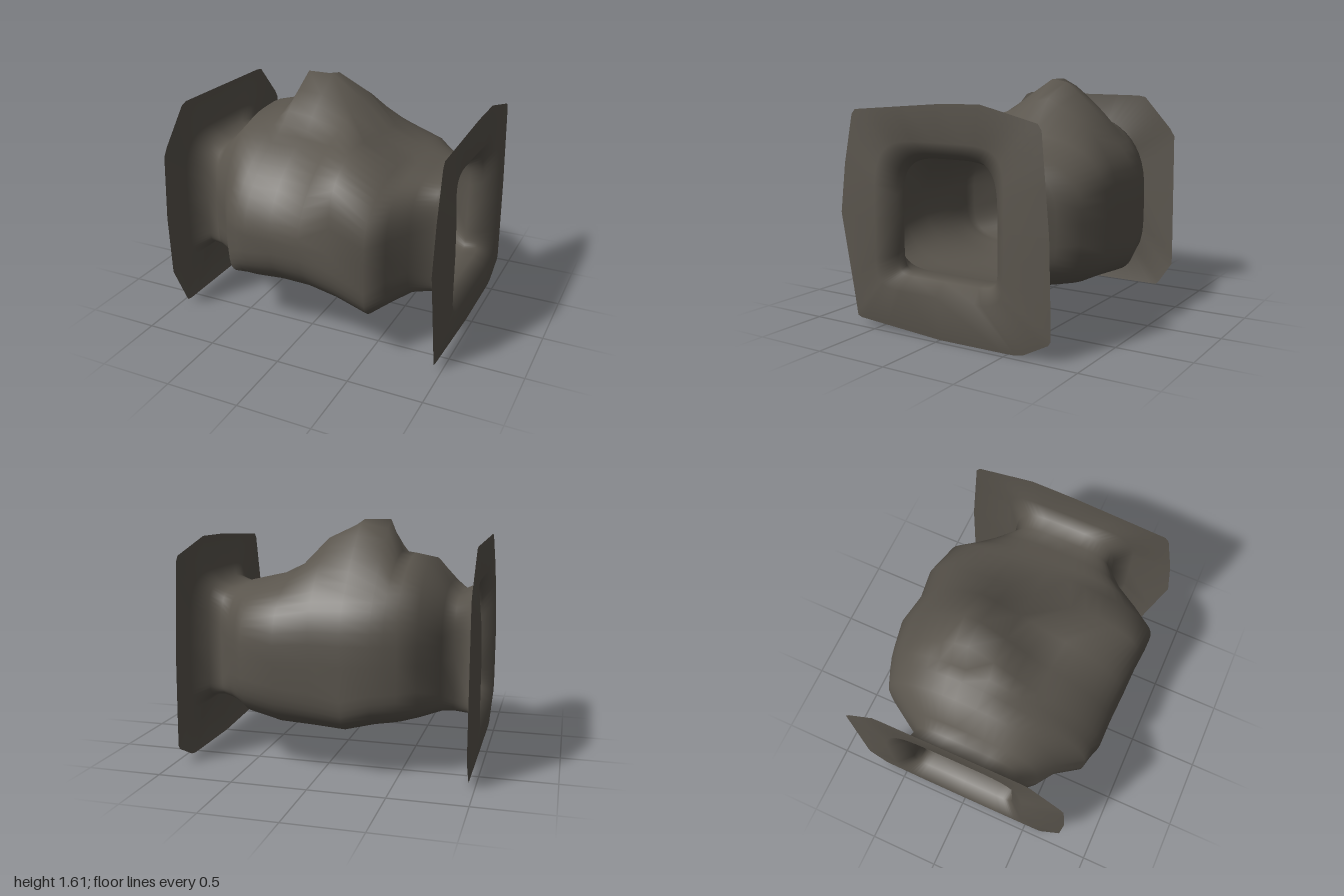
import * as THREE from 'three';

const SIDES = 56;
const MID_Y = 0.75; // height where each section is widest

// Chamber sections: x, floor y, roof y, back z, front z, knob height, knob z,
// then squareness of the front roof, front floor and back floor corners
const CHAMBER = [
  [-0.74, 0.38, 1.20, -0.50, 0.49, 0, 0, 2.8, 5, 6],
  [-0.62, 0.36, 1.34, -0.69, 0.58, 0.03, -0.2, 2.2, 4, 5],
  [-0.50, 0.33, 1.36, -0.74, 0.74, 0.04, -0.2, 1.9, 5, 5],
  [-0.42, 0.32, 1.36, -0.77, 0.76, 0.06, -0.2, 1.8, 4, 5],
  [-0.34, 0.31, 1.36, -0.79, 0.79, 0.27, -0.18, 1.8, 3.4, 5],
  [-0.16, 0.28, 1.36, -0.825, 0.79, 0.29, -0.22, 1.8, 2.7, 6],
  [0.06, 0.27, 1.34, -0.79, 0.80, 0.17, -0.26, 1.9, 2.6, 5],
  [0.28, 0.27, 1.28, -0.825, 0.805, 0.07, 0.45, 4, 3.2, 4],
  [0.52, 0.30, 1.20, -0.77, 0.82, 0, 0, 2.8, 6, 3.5],
  [0.61, 0.33, 1.18, -0.64, 0.68, 0, 0, 3, 5, 4],
  [0.70, 0.36, 1.16, -0.53, 0.52, 0, 0, 3.2, 5, 5],
].map(([x, floor, roof, back, front, knob, knobZ, roofFront, floorFront, floorBack]) =>
  ({ x, floor, roof, back, front, knob, knobZ, roofFront, roofBack: 2.8, floorFront, floorBack, lean: 0 }));

// Flange outlines as z, y corners, running from the front up and over
const LEFT_FLANGE = [[0.815, 0.82], [0.68, 1.435], [-0.26, 1.505], [-0.73, 1.39], [-0.79, 0.7],
  [-0.80, 0.12], [-0.59, 0.01], [-0.08, 0], [0.68, 0.05], [0.71, 0.23]];
const RIGHT_FLANGE = [[0.75, 1.2], [0.5, 1.49], [-0.53, 1.48], [-0.78, 1.2],
  [-0.79, 0.2], [-0.67, 0.02], [0.62, 0.02], [0.80, 0.4]];

// Point on a rounded-box section, plus the rocky knob on the roof
function sectionPoint(s, angle) {
  const cos = Math.cos(angle), sin = Math.sin(angle);
  const squareness = sin > 0 ? (cos > 0 ? s.roofFront : s.roofBack) : (cos > 0 ? s.floorFront : s.floorBack);
  const z = (cos > 0 ? s.front : s.back) * Math.pow(Math.abs(cos), 2 / squareness);
  let y = MID_Y + ((sin > 0 ? s.roof : s.floor) - MID_Y) * Math.pow(Math.abs(sin), 2 / squareness);
  if (sin > 0) y += s.knob * Math.max(0, 1 - Math.abs(z - s.knobZ) / 0.45) * Math.min(1, sin * 2);
  return [s.x - s.lean * Math.max(0, sin), y, z];
}

function sectionRow(section) {
  return Array.from({ length: SIDES }, (_, j) => sectionPoint(section, (j / SIDES) * Math.PI * 2));
}

// Push each lip point straight out from the centre to the flange outline
function flangeRow(lipRow, outline, x) {
  return lipRow.map(([, y, z]) => {
    const dy = y - MID_Y;
    let reach = Infinity;
    outline.forEach(([z0, y0], i) => {
      const [z1, y1] = outline[(i + 1) % outline.length];
      const ez = z1 - z0, ey = y1 - y0;
      const cross = z * ey - dy * ez;
      const t = (z0 * ey - (y0 - MID_Y) * ez) / cross;
      const u = (z0 * dy - (y0 - MID_Y) * z) / cross;
      if (t > 0 && u >= -1e-6 && u <= 1 + 1e-6) reach = Math.min(reach, t);
    });
    return [x, MID_Y + dy * reach, z * reach];
  });
}

// Neck, flared lip and flat flange at one end, from the chamber outward
function endRows(side, outline) {
  const row = (x, floor, roof, back, front, top, low, lean) => sectionRow({
    x: side * x, floor, roof, back, front, knob: 0, knobZ: 0, lean: side * lean,
    roofFront: top, roofBack: top, floorFront: low, floorBack: low,
  });
  const lip = row(0.995, 0.29, 1.25, -0.50, 0.48, 5, 8, 0.045);
  return [
    row(0.81, 0.375, 1.135, -0.385, 0.39, 3.8, 10, 0),
    row(0.90, 0.37, 1.175, -0.40, 0.37, 4, 10, 0),
    lip,
    flangeRow(lip, outline, side * 0.955),
  ];
}

// Skin the rows into one open sheet
function skin(rows) {
  const indices = [];
  for (let i = 0; i < rows.length - 1; i++) {
    for (let j = 0; j < SIDES; j++) {
      const a = i * SIDES + j, b = i * SIDES + (j + 1) % SIDES;
      indices.push(a, a + SIDES, b, b, a + SIDES, b + SIDES);
    }
  }
  const geometry = new THREE.BufferGeometry();
  geometry.setAttribute('position', new THREE.Float32BufferAttribute(rows.flat(2), 3));
  geometry.setIndex(indices);
  geometry.computeVertexNormals();
  return geometry;
}

export function createModel() {
  const rock = new THREE.MeshStandardMaterial({ color: 0x5a554d, side: THREE.DoubleSide });
  rock.name = 'dark rock';

  // Bulging chamber with a square neck and a flange at each end
  const rows = [
    ...endRows(-1, RIGHT_FLANGE).reverse(),
    ...CHAMBER.map(sectionRow),
    ...endRows(1, LEFT_FLANGE),
  ];
  const chamber = new THREE.Mesh(skin(rows), rock);
  chamber.name = 'caveChamber';

  const group = new THREE.Group();
  group.name = 'caveTunnel';
  group.add(chamber);
  return group;
}
